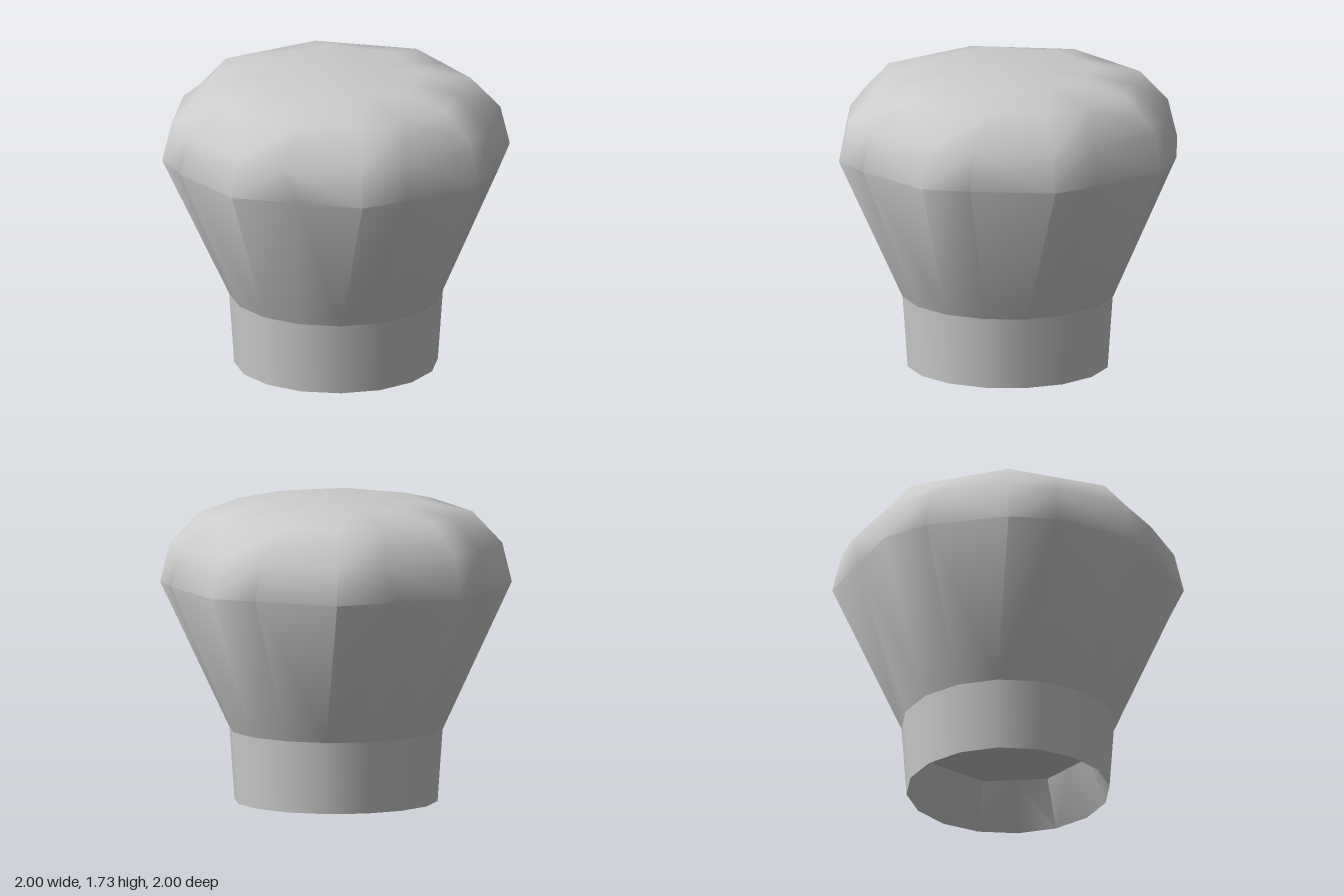
import * as THREE from 'three';
import { toCreasedNormals } from 'three/addons/utils/BufferGeometryUtils.js';

const SIDES = 16;
const STEP = (Math.PI * 2) / SIDES;
const TWIST = -0.1; // the head's main corners are turned slightly

const point = (r, y, angle) => new THREE.Vector3(r * Math.cos(angle), y, r * Math.sin(angle));

// Regular ring of 16 corners
const ring16 = (r, y) => Array.from({ length: SIDES }, (_, i) => point(r, y, i * STEP));

// Octagon carried on 16 columns; 'first' is the column parity of its corners
function ring8(r, y, turn = 0, first = 0) {
  const corner = (i) => point(r, y, i * STEP + turn);
  return Array.from({ length: SIDES }, (_, i) =>
    i % 2 === first ? corner(i) : corner(i - 1).lerp(corner(i + 1), 0.5));
}

// Skin a stack of rings; collapsed rings act as cap centres
function loft(name, rings, crease, material) {
  const positions = [];
  const tri = (a, b, c) => {
    if (a.distanceTo(b) < 1e-5 || b.distanceTo(c) < 1e-5 || a.distanceTo(c) < 1e-5) return;
    for (const p of [a, b, c]) positions.push(p.x, p.y, p.z);
  };
  for (let k = 0; k < rings.length - 1; k++) {
    for (let i = 0; i < SIDES; i++) {
      const j = (i + 1) % SIDES;
      const [a, b, c, d] = [rings[k][i], rings[k][j], rings[k + 1][i], rings[k + 1][j]];
      if (i % 2) { tri(b, a, c); tri(b, c, d); } else { tri(b, a, d); tri(a, c, d); }
    }
  }
  const geometry = new THREE.BufferGeometry();
  geometry.setAttribute('position', new THREE.Float32BufferAttribute(positions, 3));
  const mesh = new THREE.Mesh(toCreasedNormals(geometry, crease), material);
  mesh.name = name;
  return mesh;
}

export function createModel() {
  const group = new THREE.Group();
  group.name = 'knob';
  const material = new THREE.MeshStandardMaterial({ color: 0xcccccc });

  // Widest ring: octagon corners with extra corners between, except at two flats
  const flats = [5, 11];
  const widest = ring8(1.005, 1.26, TWIST);
  const shoulder = ring8(0.95, 1.485, TWIST);
  for (let i = 1; i < SIDES; i += 2) {
    if (flats.includes(i)) {
      shoulder[i] = point(0.925, 1.46, i * STEP);
    } else {
      widest[i] = point(0.986, 1.27, i * STEP);
      shoulder[i] = point(0.925, 1.49, i * STEP);
    }
  }

  // Flared head with rounded top
  group.add(loft('head', [
    ring16(0.612, 0.415),
    widest,
    shoulder,
    ring8(0.78, 1.665, TWIST),
    ring8(0.5, 1.73),
    ring16(0, 1.73),
  ], 0.75, material));

  // Slightly tapered neck
  group.add(loft('neck', [ring16(0.583, 0), ring16(0.612, 0.415)], 0.75, material));

  // Shallow octagonal recess under the neck
  group.add(loft('socket', [
    ring16(0, 0.27),
    ring8(0.48, 0.27, 0, 1),
    ring16(0.583, 0),
  ], 0.6, material));

  return group;
}
